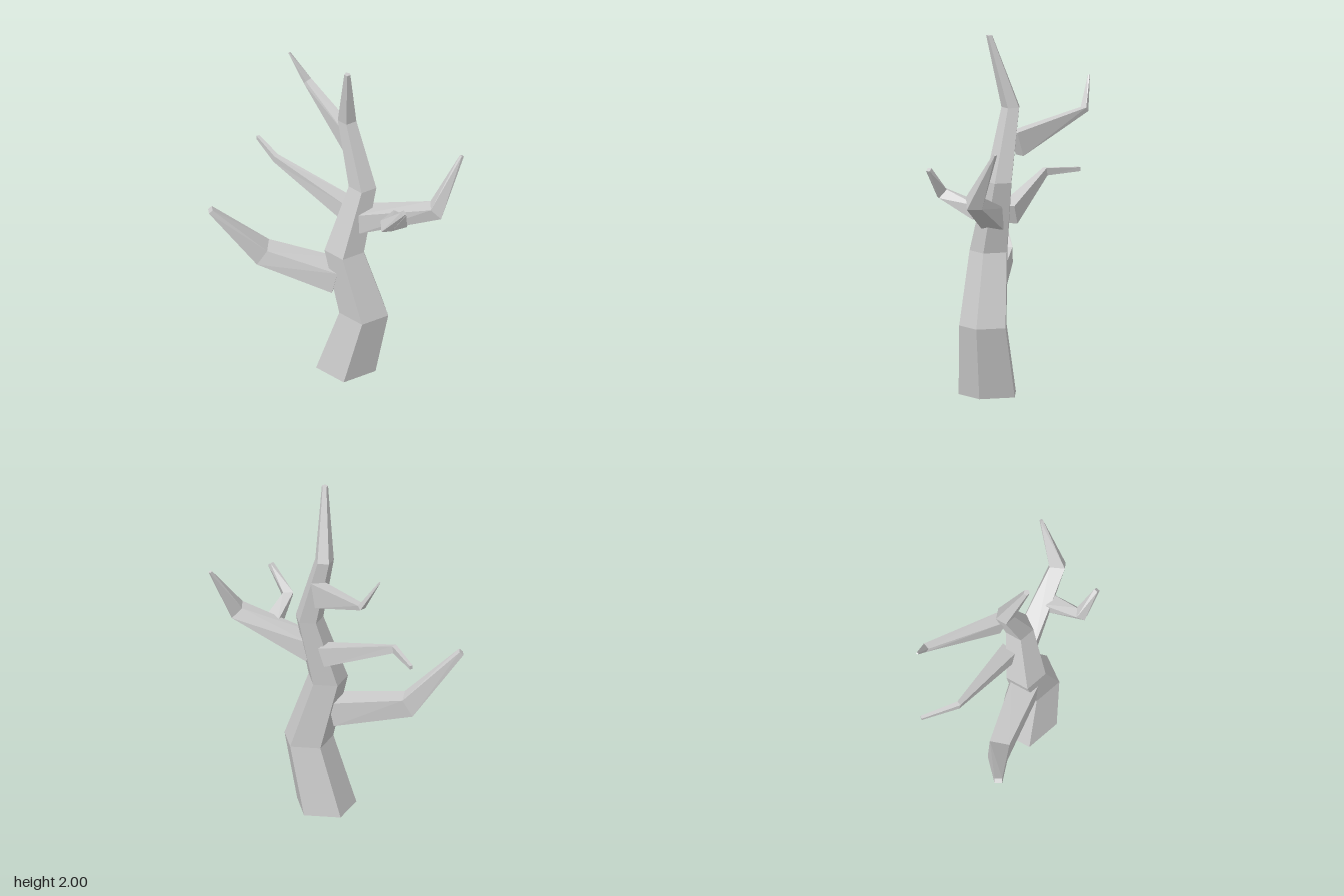
import * as THREE from 'three';

const material = new THREE.MeshStandardMaterial({ color: 0xcccccc, flatShading: true });

// Skins a list of equal-sized point rings and caps both ends
function loft(name, rings) {
  const pos = [];
  const tri = (...points) => points.forEach((p) => pos.push(p.x, p.y, p.z));
  const n = rings[0].length;
  for (let r = 0; r < rings.length - 1; r++) {
    for (let i = 0; i < n; i++) {
      const j = (i + 1) % n;
      const a = rings[r][i], b = rings[r][j], c = rings[r + 1][j], d = rings[r + 1][i];
      tri(a, d, c);
      tri(a, c, b);
    }
  }
  const first = rings[0], last = rings[rings.length - 1];
  for (let i = 1; i < n - 1; i++) {
    tri(first[0], first[i], first[i + 1]);
    tri(last[0], last[i + 1], last[i]);
  }
  const geometry = new THREE.BufferGeometry();
  geometry.setAttribute('position', new THREE.Float32BufferAttribute(pos, 3));
  geometry.computeVertexNormals();
  const mesh = new THREE.Mesh(geometry, material);
  mesh.name = name;
  return mesh;
}

// Horizontal five-sided ring of the trunk
function trunkRing([x, y, z, radius]) {
  return Array.from({ length: 5 }, (_, i) => {
    const a = (i / 5) * Math.PI * 2;
    return new THREE.Vector3(x + radius * Math.cos(a), y, z + radius * Math.sin(a));
  });
}

// Four-sided branch; stations are [x, y, z, half width, half height], mitred at the elbow
function branch(name, stations) {
  const centres = stations.map(([x, y, z]) => new THREE.Vector3(x, y, z));
  const up = new THREE.Vector3(0, 1, 0);
  const heading = (i) => centres[i + 1].clone().sub(centres[i]).normalize();
  const rings = stations.map(([, , , w, h], i) => {
    const t = new THREE.Vector3();
    if (i > 0) t.add(heading(i - 1));
    if (i < stations.length - 1) t.add(heading(i));
    t.normalize();
    const side = t.clone().cross(up).normalize();
    const top = side.clone().cross(t);
    return [[1, 1], [-1, 1], [-1, -1], [1, -1]].map(([a, b]) =>
      centres[i].clone().addScaledVector(side, a * w).addScaledVector(top, b * h));
  });
  return loft(name, rings);
}

export function createModel() {
  const tree = new THREE.Group();
  tree.name = 'bareTree';

  // Crooked trunk, tapering to a thin top
  tree.add(loft('trunk', [
    [0.02, 0, 0.11, 0.172],
    [0.06, 0.4, 0.205, 0.142],
    [0.015, 0.8, 0.1, 0.114],
    [0.115, 1.2, 0.145, 0.08],
    [0.11, 1.6, 0.035, 0.054],
    [0.02, 2, 0.115, 0.018],
  ].map(trunkRing)));

  // Thick low limb at the back right
  tree.add(branch('lowBranch', [
    [-0.01, 0.605, 0.07, 0.075, 0.07],
    [-0.21, 0.695, -0.3, 0.055, 0.056],
    [-0.425, 1.01, -0.495, 0.021, 0.014],
  ]));

  // Slender limb straight to the back
  tree.add(branch('backBranch', [
    [0.095, 1.0, 0.04, 0.045, 0.055],
    [0.008, 1.168, -0.4, 0.014, 0.021],
    [0.09, 1.163, -0.602, 0.009, 0.011],
  ]));

  // High limb at the back left
  tree.add(branch('highBranch', [
    [0.15, 1.4, 0.04, 0.036, 0.07],
    [0.277, 1.545, -0.405, 0.02, 0.014],
    [0.234, 1.717, -0.5, 0.005, 0.004],
  ]));

  // Front limb and the twig forking from it
  tree.add(branch('frontBranch', [
    [0.075, 0.99, 0.15, 0.062, 0.06],
    [0.255, 1.15, 0.555, 0.042, 0.042],
    [0.43, 1.445, 0.592, 0.008, 0.008],
  ]));
  tree.add(branch('frontTwig', [
    [0.155, 1.07, 0.39, 0.042, 0.042],
    [-0.045, 1.162, 0.455, 0.028, 0.032],
    [-0.04, 1.31, 0.58, 0.012, 0.012],
  ]));

  return tree;
}
